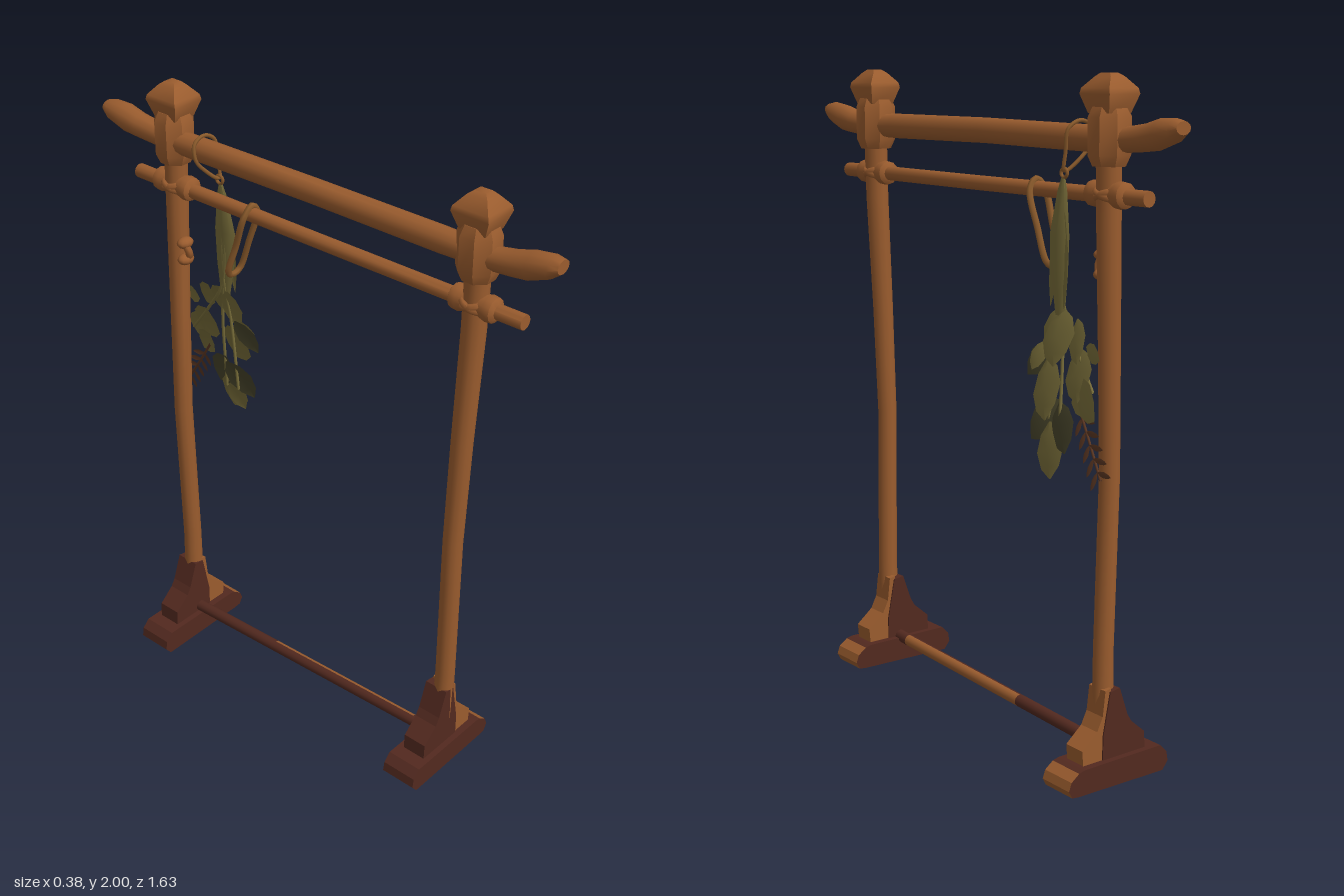
import * as THREE from 'three';
import { toCreasedNormals } from 'three/addons/utils/BufferGeometryUtils.js';

const mat = (name, color, side = THREE.FrontSide) => {
  const m = new THREE.MeshStandardMaterial({ color, side });
  m.name = name;
  return m;
};

// Closed loft along 'y' or 'z'; rings are [x, y, z, r1, r2 = r1] in rising order
function loft(axis, rings, sides = 12, turn = 0) {
  const pos = [], idx = [];
  for (const [x, y, z, r1, r2 = r1] of rings) {
    for (let j = 0; j < sides; j++) {
      const a = turn + (j / sides) * Math.PI * 2;
      const u = Math.cos(a) * r1, v = Math.sin(a) * r2;
      if (axis === 'y') pos.push(x + u, y, z + v);
      else pos.push(x + u, y - v, z);
    }
  }
  const last = rings.length - 1, c0 = pos.length / 3;
  pos.push(...rings[0].slice(0, 3), ...rings[last].slice(0, 3));
  for (let j = 0; j < sides; j++) {
    const k = (j + 1) % sides;
    for (let i = 0; i < last; i++) {
      const a = i * sides + j, b = i * sides + k;
      idx.push(a, a + sides, b, b, a + sides, b + sides);
    }
    idx.push(c0, j, k, c0 + 1, last * sides + k, last * sides + j);
  }
  const g = new THREE.BufferGeometry();
  g.setAttribute('position', new THREE.Float32BufferAttribute(pos, 3));
  g.setIndex(idx);
  return toCreasedNormals(g, 0.7);
}

// Profile in x/y, extruded to a centred depth along z
function slab(points, depth) {
  const shape = new THREE.Shape(points.map(p => new THREE.Vector2(...p)));
  return new THREE.ExtrudeGeometry(shape, { depth, bevelEnabled: false }).translate(0, 0, -depth / 2);
}

function tube(points, r, closed = false) {
  const curve = new THREE.CatmullRomCurve3(points.map(p => new THREE.Vector3(...p)), closed);
  return new THREE.TubeGeometry(curve, points.length * 6, r, 6, closed);
}

// Slightly folded pointed leaf from base to tip, its face towards +x
function leafGeometry(base, tip, width) {
  const a = new THREE.Vector3(...base), d = new THREE.Vector3(...tip).sub(a);
  const side = d.clone().cross(new THREE.Vector3(1, 0, 0)).normalize();
  const up = side.clone().cross(d).normalize();
  const pos = [], idx = [];
  [[0, 0.08], [0.2, 0.7], [0.5, 1], [0.8, 0.68], [1, 0.04]].forEach(([t, w], i) => {
    for (const s of [-1, 0, 1]) {
      const p = a.clone().addScaledVector(d, t).addScaledVector(side, s * w * width / 2)
        .addScaledVector(up, (s === 0 ? 0.08 : 0) * w * width);
      pos.push(p.x, p.y, p.z);
    }
    if (i > 0) for (const k of [0, 1]) {
      const q = (i - 1) * 3 + k;
      idx.push(q, q + 1, q + 3, q + 1, q + 4, q + 3);
    }
  });
  const g = new THREE.BufferGeometry();
  g.setAttribute('position', new THREE.Float32BufferAttribute(pos, 3));
  g.setIndex(idx);
  return toCreasedNormals(g, 0.6);
}

export function createModel() {
  const wood = mat('warm wood', 0x9a5c2e);
  const dark = mat('dark wood', 0x52291f);
  const rope = mat('rope', 0x8a5a2b);
  const leaf = mat('olive leaf', 0x776c39, THREE.DoubleSide);
  const shade = mat('deep leaf', 0x46432a, THREE.DoubleSide);
  const twig = mat('dry sprig', 0x5a3622, THREE.DoubleSide);
  const root = new THREE.Group();
  const add = (name, geo, material, parent = root) => {
    const m = new THREE.Mesh(geo, material);
    m.name = name;
    parent.add(m);
    return m;
  };

  // Two posts, each with cap, knob, lashing and splayed foot
  for (const [name, footZ, topZ, y0] of [['front', 0.53, 0.56, 0.06], ['rear', -0.55, -0.555, 0]]) {
    const mid = (t) => footZ + (topZ - footZ) * t;
    add(name + 'Post', loft('y', [
      [0.01, y0 + 0.05, footZ, 0.033], [0.012, 0.4, mid(0.2), 0.03], [0, 0.9, mid(0.5), 0.03],
      [0.008, 1.25, mid(0.7), 0.032], [0.018, 1.6, topZ, 0.035], [0.022, 1.8, topZ, 0.036]]), wood);
    add(name + 'PostCap', loft('y', [
      [0.02, 1.755, topZ, 0.048], [0.02, 1.785, topZ, 0.062], [0.02, 1.885, topZ, 0.062],
      [0.02, 1.915, topZ, 0.048]], 8, Math.PI / 8), wood);
    add(name + 'PostKnob', loft('y', [
      [0.022, 1.895, topZ, 0.055, 0.06], [0.022, 1.945, topZ, 0.076, 0.086],
      [0.022, 1.96, topZ, 0.073, 0.08], [0.022, 1.99, topZ, 0.036, 0.045],
      [0.024, 2, topZ, 0.02, 0.026]], 4, Math.PI / 4), wood);
    add(name + 'Lashing', loft('z', [[-0.075, 0.022], [-0.066, 0.036], [-0.045, 0.038], [0, 0.026],
      [0.045, 0.038], [0.066, 0.036], [0.075, 0.022]].map(([dz, r]) => [0.018, 1.68, topZ + dz, r])), wood);
    const ring = new THREE.TorusGeometry(0.036, 0.011, 6, 16);
    for (const tilt of [-0.3, 0.3]) {
      const m = add(name + 'LashingRing', ring, wood);
      m.position.set(0.018, 1.68, topZ);
      m.rotation.x = Math.PI / 2 + tilt;
    }

    // Foot: beam with a pale cut end, and a two-tone brace
    const foot = new THREE.Group();
    foot.name = name + 'Foot';
    foot.position.set(0, y0, footZ - 0.005);
    root.add(foot);
    add('footBeam', slab([[-0.17, 0], [0.15, 0.005], [0.15, 0.075], [0.13, 0.08], [-0.16, 0.08],
      [-0.185, 0.055], [-0.19, 0.025]], 0.116), dark, foot);
    add('footBeamEnd', slab([[0.15, 0.005], [0.175, 0.008], [0.187, 0.03], [0.178, 0.055],
      [0.15, 0.075]], 0.116), [dark, wood], foot);
    add('darkBrace', slab([[-0.115, 0.07], [0.045, 0.07], [0.045, 0.15], [0.02, 0.28], [-0.015, 0.285],
      [-0.045, 0.2], [-0.06, 0.175], [-0.112, 0.13]], 0.078), dark, foot);
    add('paleBrace', slab([[0.015, 0.07], [0.115, 0.07], [0.12, 0.125], [0.065, 0.17], [0.045, 0.21],
      [0.036, 0.285], [0.015, 0.29]], 0.07), wood, foot);
  }

  // Top beam with thick upswept horn ends
  add('topBeam', loft('z', [
    [0, 1.863, -0.815, 0.026, 0.018], [0, 1.856, -0.79, 0.035, 0.032], [0.003, 1.845, -0.735, 0.039, 0.042],
    [0.006, 1.834, -0.68, 0.036, 0.037], [0.009, 1.825, -0.6, 0.034, 0.034],
    [0.01, 1.825, -0.45, 0.034, 0.037], [0.01, 1.83, 0, 0.034, 0.037], [0.014, 1.828, 0.45, 0.035, 0.038],
    [0.018, 1.826, 0.6, 0.034, 0.033], [0.021, 1.834, 0.67, 0.036, 0.037], [0.023, 1.845, 0.725, 0.038, 0.042],
    [0.024, 1.861, 0.785, 0.035, 0.034], [0.024, 1.87, 0.815, 0.026, 0.02]]), wood);
  add('crossbar', loft('z', [[0.016, 1.677, -0.71, 0.022], [0.018, 1.677, 0, 0.022],
    [0.018, 1.68, 0.72, 0.022]]), wood);

  // Low stretcher: dark, with a pale length on its left side
  const rail = new THREE.Group();
  rail.name = 'stretcher';
  const from = new THREE.Vector3(0, 0.143, 0.53), to = new THREE.Vector3(0, 0.095, -0.56);
  const halfRail = (t0, t1, start, material) => {
    const a = from.clone().lerp(to, t0), b = from.clone().lerp(to, t1), len = a.distanceTo(b);
    const g = new THREE.CylinderGeometry(0.019, 0.019, len, 6, 1, true, start, Math.PI);
    const m = add('stretcherSide', g, material, rail);
    m.position.copy(a).add(b).multiplyScalar(0.5);
    m.quaternion.setFromUnitVectors(new THREE.Vector3(0, 1, 0), a.sub(b).normalize());
  };
  halfRail(0, 0.09, 0, dark);
  halfRail(0.09, 0.63, 0, wood);
  halfRail(0.63, 1, 0, dark);
  halfRail(0, 1, Math.PI, dark);
  root.add(rail);

  // Rope sling on the crossbar and a small knotted cord by the rear post
  add('ropeSling', tube([[0.018, 1.705, -0.245], [0.045, 1.675, -0.25], [0.045, 1.57, -0.285],
    [0.035, 1.475, -0.315], [0.01, 1.462, -0.318], [-0.015, 1.475, -0.315], [-0.012, 1.57, -0.285],
    [-0.01, 1.675, -0.25]], 0.01, true), rope);
  add('cord', tube([[-0.02, 1.52, -0.5], [-0.01, 1.485, -0.485], [0, 1.45, -0.5]], 0.012), wood);
  for (const y of [1.512, 1.457]) {
    add('cordKnot', new THREE.SphereGeometry(0.022, 10, 8).scale(1.3, 0.8, 1), wood)
      .position.set(-0.01, y, -0.5);
  }

  // Hanging herb bundle
  const herbs = new THREE.Group();
  herbs.name = 'herbBundle';
  root.add(herbs);
  add('beamLoop', tube([[0.01, 1.872, -0.425], [0.05, 1.85, -0.42], [0.05, 1.79, -0.41], [0.045, 1.735, -0.4],
    [0.0, 1.77, -0.415], [-0.03, 1.81, -0.42], [-0.027, 1.855, -0.425]], 0.006, true), rope, herbs);
  add('bundleTie', new THREE.TorusGeometry(0.013, 0.005, 6, 12).rotateY(Math.PI / 2), rope, herbs)
    .position.set(0.046, 1.73, -0.4);
  add('stemBundle', loft('y', [[0.065, 1.34, -0.41, 0.006, 0.02], [0.06, 1.45, -0.4, 0.011, 0.036],
    [0.055, 1.56, -0.393, 0.012, 0.042], [0.048, 1.68, -0.395, 0.008, 0.02],
    [0.046, 1.72, -0.397, 0.004, 0.006]], 8), leaf, herbs);
  for (const [z, x, w] of [[-0.355, 0.062, 0.045], [-0.42, 0.068, 0.05]]) {
    add('stemLeaf', leafGeometry([0.055, 1.68, -0.395], [x, 1.36, z - 0.01], w), leaf, herbs);
  }
  for (const [x, y, z] of [[0.08, 1.0, -0.38], [0.1, 0.98, -0.45], [0.09, 1.15, -0.58]]) {
    add('stem', tube([[0.046, 1.72, -0.395], [0.055, 1.4, -0.405], [0.075, 1.25, (z - 0.42) / 2], [x, y, z]], 0.005),
      leaf, herbs);
  }
  // Leaves as base, tip and width
  for (const [b, t, w, m] of [
    [[0.06, 1.36, -0.42], [0.13, 1.21, -0.46], 0.14, leaf],
    [[0.05, 1.36, -0.39], [0.08, 1.23, -0.38], 0.09, leaf],
    [[0.07, 1.34, -0.49], [0.13, 1.23, -0.56], 0.08, leaf],
    [[0.08, 1.27, -0.54], [0.12, 1.25, -0.64], 0.055, leaf],
    [[0.06, 1.26, -0.37], [0.09, 1.16, -0.3], 0.08, shade],
    [[0.08, 1.22, -0.38], [0.15, 1.06, -0.45], 0.13, leaf],
    [[0.06, 1.26, -0.49], [0.12, 1.12, -0.55], 0.12, leaf],
    [[0.08, 1.17, -0.5], [0.17, 1.1, -0.68], 0.1, leaf],
    [[0.05, 1.18, -0.47], [0.1, 1.08, -0.55], 0.09, leaf],
    [[0.06, 1.1, -0.41], [0.1, 0.98, -0.33], 0.11, shade],
    [[0.08, 1.1, -0.43], [0.12, 0.97, -0.5], 0.11, shade],
    [[0.09, 1.04, -0.4], [0.13, 0.89, -0.45], 0.12, leaf],
    [[0.08, 1.0, -0.42], [0.1, 0.92, -0.37], 0.07, leaf],
    [[0.07, 1.26, -0.35], [0.1, 1.18, -0.33], 0.06, leaf]]) {
    add('leaf', leafGeometry(b, t, w), m, herbs);
  }
  // Seed sprig with paired buds
  add('sprigStem', tube([[0.08, 1.12, -0.5], [0.09, 1.03, -0.56], [0.11, 0.92, -0.64]], 0.004), twig, herbs);
  for (let i = 0; i < 5; i++) {
    const t = i / 4;
    const base = [0.085 + 0.025 * t, 1.07 - 0.13 * t, -0.53 - 0.095 * t];
    for (const [dx, dy, dz] of [[0.015, -0.05, 0.008], [-0.005, -0.005, -0.05]]) {
      add('bud', leafGeometry(base, [base[0] + dx, base[1] + dy, base[2] + dz], 0.018), twig, herbs);
    }
  }
  return root;
}
